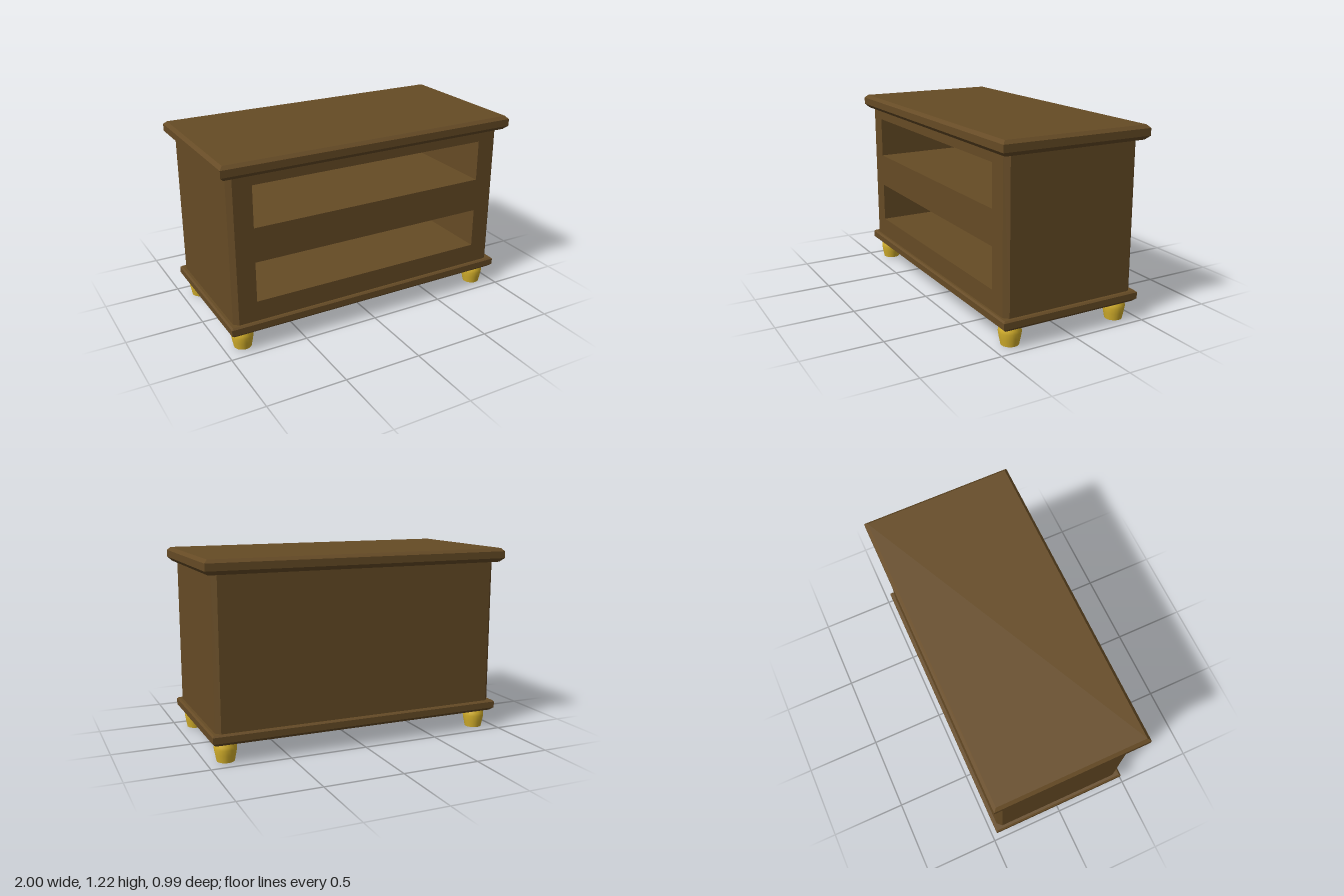
import * as THREE from 'three';

const wood = new THREE.MeshStandardMaterial({ name: 'brown wood', color: 0x664b25 });
const gold = new THREE.MeshStandardMaterial({ name: 'gold', color: 0xd8b32c });

function add(parent, name, geometry, material) {
  const mesh = new THREE.Mesh(geometry, material);
  mesh.name = name;
  parent.add(mesh);
  return mesh;
}

// Closed rectangular slab from rings of [y, half width, half depth], bottom to top
function slab(rings) {
  const pos = [];
  const corners = rings.map(([y, w, d]) => [[-w, y, d], [w, y, d], [w, y, -d], [-w, y, -d]]);
  const quad = (a, b, c, d) => pos.push(...a, ...b, ...c, ...a, ...c, ...d);
  for (let i = 0; i < rings.length - 1; i++) {
    for (let k = 0; k < 4; k++) {
      const n = (k + 1) % 4;
      quad(corners[i][k], corners[i][n], corners[i + 1][n], corners[i + 1][k]);
    }
  }
  const [b, t] = [corners[0], corners[corners.length - 1]];
  quad(b[3], b[2], b[1], b[0]);
  quad(t[0], t[1], t[2], t[3]);
  const geometry = new THREE.BufferGeometry();
  geometry.setAttribute('position', new THREE.Float32BufferAttribute(pos, 3));
  geometry.computeVertexNormals();
  return geometry;
}

// Counter-clockwise polygon
const polygon = (pts) => pts.map(([x, y]) => new THREE.Vector2(x, y));
const rect = (x0, y0, x1, y1) => polygon([[x0, y0], [x1, y0], [x1, y1], [x0, y1]]);

export function createModel() {
  const model = new THREE.Group();
  model.name = 'cabinet';

  // Bevelled top and base
  add(model, 'topBoard', slab([
    [1.13, 0.975, 0.47], [1.155, 1, 0.495], [1.2, 1, 0.495], [1.22, 0.98, 0.475],
  ]), wood);
  add(model, 'baseBoard', slab([
    [0.12, 0.955, 0.45], [0.14, 0.977, 0.472], [0.18, 0.977, 0.472], [0.19, 0.967, 0.462],
  ]), wood);

  // Body with two open compartments
  const face = new THREE.Shape(rect(-0.92, 0.19, 0.92, 1.13));
  for (const [y0, y1] of [[0.32, 0.58], [0.8, 1.065]]) {
    face.holes.push(new THREE.Path(rect(-0.8, y0, 0.8, y1)));
  }
  const body = new THREE.ExtrudeGeometry(face, { depth: 0.87, bevelEnabled: false });
  add(model, 'body', body.translate(0, 0, -0.42), wood);
  add(model, 'backPanel', new THREE.BoxGeometry(1.84, 0.94, 0.03), wood).position.set(0, 0.66, -0.435);

  // Side panels with chamfered upright corners
  const plan = new THREE.Shape(polygon([[0, -0.45], [0.03, -0.42], [0.03, 0.42], [0, 0.45]]));
  const side = new THREE.ExtrudeGeometry(plan, { depth: 0.94, bevelEnabled: false }).rotateX(-Math.PI / 2);
  for (const s of [1, -1]) {
    const panel = add(model, s > 0 ? 'leftPanel' : 'rightPanel', side, wood);
    panel.position.set(0.92 * s, 0.19, 0);
    panel.rotation.y = s > 0 ? 0 : Math.PI;
  }

  // Turned feet
  const profile = polygon([[0.055, 0], [0.064, 0.045], [0.07, 0.08], [0.068, 0.1], [0.062, 0.122]]);
  const turned = new THREE.LatheGeometry(profile, 20);
  const sole = new THREE.CircleGeometry(0.055, 20).rotateX(Math.PI / 2);
  for (const x of [-0.877, 0.877]) {
    for (const z of [-0.375, 0.375]) {
      const foot = new THREE.Group();
      foot.name = 'foot';
      foot.position.set(x, 0, z);
      add(foot, 'turnedFoot', turned, gold);
      add(foot, 'sole', sole, gold);
      model.add(foot);
    }
  }
  return model;
}
